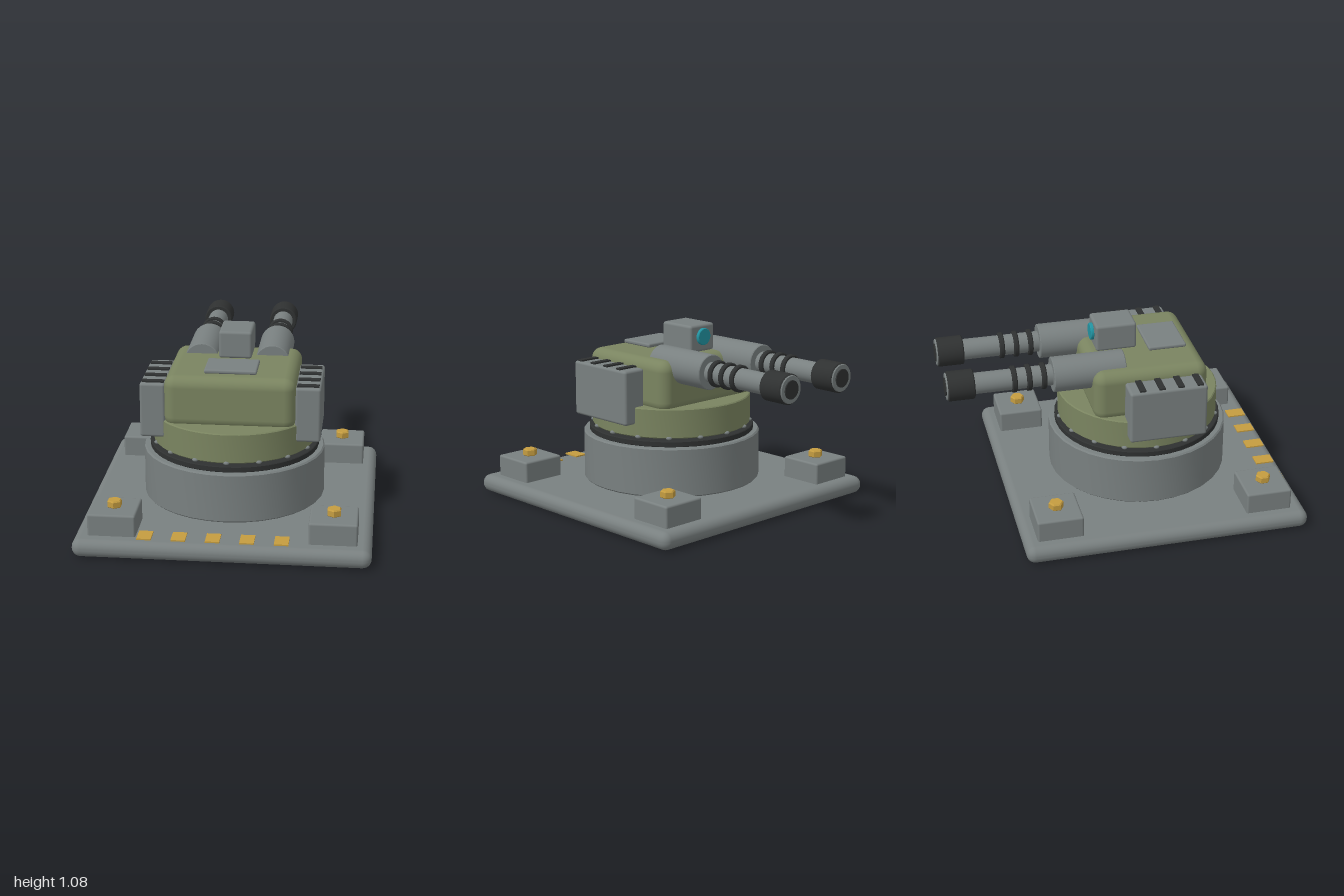
import * as THREE from 'three';
import { RoundedBoxGeometry } from 'three/addons/geometries/RoundedBoxGeometry.js';
import { toCreasedNormals } from 'three/addons/utils/BufferGeometryUtils.js';

const material = (name, color) => {
  const m = new THREE.MeshStandardMaterial({ color });
  m.name = name;
  return m;
};

export function createModel() {
  const steel = material('steel grey', 0x798080);
  const olive = material('olive', 0x7a8460);
  const dark = material('dark metal', 0x2f3131);
  const gold = material('gold', 0xc49c40);
  const cyan = material('cyan lens', 0x2294a2);

  const model = new THREE.Group();
  model.name = 'gunTurret';
  const AXIS_Z = 0.17; // turret ring centre

  const add = (name, geometry, mat, x, y, z, parent = model) => {
    const mesh = new THREE.Mesh(geometry, mat);
    mesh.name = name;
    mesh.position.set(x, y, z);
    parent.add(mesh);
    return mesh;
  };
  // Rounded box given by its minimum and maximum corners
  const block = (name, mat, [x0, y0, z0], [x1, y1, z1], r, parent) =>
    add(name, new RoundedBoxGeometry(x1 - x0, y1 - y0, z1 - z0, 3, r), mat,
      (x0 + x1) / 2, (y0 + y1) / 2, (z0 + z1) / 2, parent);
  // Closed cylinder from y = 0 to h with small bevels
  const drum = (r, h, bevel, sides) => {
    const profile = [[0, 0], [r - bevel, 0], [r, bevel], [r, h - bevel], [r - bevel, h], [0, h]];
    const lathe = new THREE.LatheGeometry(profile.map(([x, y]) => new THREE.Vector2(x, y)), sides);
    return toCreasedNormals(lathe, 0.6);
  };

  // Base plate with bolted corner pads
  block('basePlate', steel, [-0.83, 0, -0.66], [0.83, 0.105, 1], 0.05);
  for (const side of [-1, 1]) {
    for (const z of [-0.453, 0.777]) {
      block('cornerPad', steel, [side * 0.615 - 0.135, 0.09, z - 0.133],
        [side * 0.615 + 0.135, 0.23, z + 0.133], 0.012);
      add('padBolt', drum(0.043, 0.045, 0.007, 6), gold, side * 0.615, 0.227, z);
    }
  }

  // Marking plates along the front edge
  for (let i = -2; i <= 2; i++) {
    add('markingPlate', new THREE.BoxGeometry(0.08, 0.008, 0.11), gold, -0.045 + i * 0.19, 0.119, 0.91);
  }

  // Pedestal, bearing ring and turret skirt
  add('pedestal', drum(0.53, 0.292, 0.008, 32), steel, 0, 0.12, AXIS_Z);
  add('bearingRing', drum(0.495, 0.035, 0.004, 40), dark, 0, 0.411, AXIS_Z);
  add('turretSkirt', drum(0.475, 0.175, 0.006, 40), olive, 0, 0.457, AXIS_Z);
  for (let i = 0; i < 16; i++) {
    const a = (i * Math.PI) / 8;
    const rivet = add('skirtRivet', new THREE.SphereGeometry(0.018, 10, 6), steel,
      0.47 * Math.sin(a), 0.46, AXIS_Z + 0.47 * Math.cos(a));
    rivet.scale.y = 0.6;
  }

  // Turret body, hatch and sight
  block('turretBody', olive, [-0.375, 0.6, -0.167], [0.375, 0.907, 0.503], 0.065);
  block('hatch', steel, [-0.15, 0.912, 0.203], [0.15, 0.936, 0.428], 0.01);
  block('sightHousing', steel, [-0.096, 0.915, -0.098], [0.096, 1.076, 0.143], 0.016);
  const lens = add('sightLens', drum(0.05, 0.022, 0.004, 24), cyan, 0, 1.005, -0.095);
  lens.rotation.x = -Math.PI / 2;

  // Side boxes with vent slats on top
  for (const side of [-1, 1]) {
    const pod = new THREE.Group();
    pod.name = side > 0 ? 'leftSideBox' : 'rightSideBox';
    model.add(pod);
    const x = side * 0.443;
    block('boxShell', steel, [x - 0.073, 0.53, 0.005], [x + 0.073, 0.852, 0.457], 0.016, pod);
    for (let i = 0; i < 4; i++) {
      add('ventSlat', new THREE.BoxGeometry(0.125, 0.012, 0.036), dark,
        side * 0.442, 0.855, 0.08 + i * 0.112, pod);
    }
  }

  // Twin guns, each built along its own axis and pointing to the rear
  for (const side of [-1, 1]) {
    const gun = new THREE.Group();
    gun.name = side > 0 ? 'leftGun' : 'rightGun';
    gun.position.set(side * 0.208, 0.865, 0);
    gun.rotation.x = -Math.PI / 2;
    model.add(gun);
    const section = (name, mat, r, start, end, bevel = 0.004) =>
      add(name, drum(r, end - start, bevel, 28), mat, 0, start, 0, gun);
    section('sleeve', steel, 0.102, -0.035, 0.385);
    section('barrel', steel, 0.061, 0.37, 0.86);
    for (const at of [0.437, 0.522, 0.607]) section('barrelBand', dark, 0.077, at - 0.015, at + 0.015, 0.006);
    section('muzzle', dark, 0.086, 0.834, 0.987, 0.006);
    section('muzzleRim', steel, 0.079, 0.95, 0.994);
    section('bore', dark, 0.053, 0.96, 1, 0.002);
  }

  return model;
}
